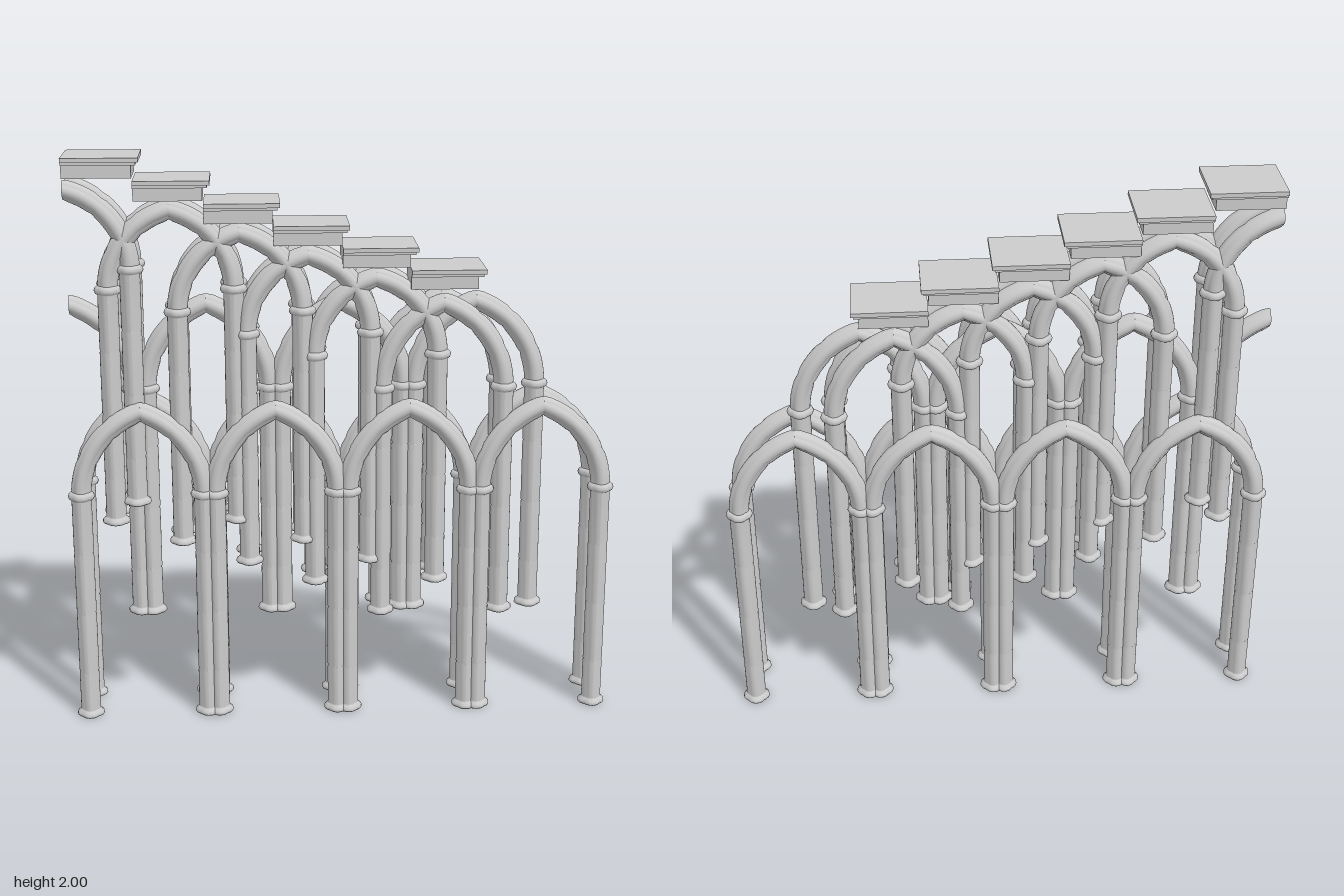
import * as THREE from 'three';
import { ParametricGeometry } from 'three/addons/geometries/ParametricGeometry.js';

const R0 = 0.035;      // shaft and rib radius
const SPAN = 0.2125;   // half the span of an arch
const SHAFT = 0.83;    // column height up to the springing
const BAY = 0.2325;    // half the spacing of the lower arcades

// four-lobed cross-section
const lobe = (a) => 0.86 + 0.14 * Math.abs(Math.cos(2 * a));

// half of a pointed arch, from the right springing (y = 0) to the apex (x = 0)
function halfArch(rise) {
  const R = (rise * rise + SPAN * SPAN) / (2 * SPAN);
  return new ParametricGeometry((u, v, p) => {
    const a = v * Math.PI * 2;
    const seam = u * 3 - Math.round(u * 3);
    const r = R0 * lobe(a) * (1 - 0.1 * Math.exp(-seam * seam * 250));
    const rho = R + r * Math.cos(a);
    const t = u * Math.acos((R - SPAN) / rho);
    p.set(SPAN - R + rho * Math.cos(t), rho * Math.sin(t), r * Math.sin(a));
  }, 18, 24);
}

// column with base, jointed shaft and collar
function columnGeometry() {
  const pts = [[0, 0], [0.045, 0], [0.048, 0.004], [0.047, 0.014], [0.037, 0.022], [R0, 0.026]];
  for (const y of [0.17, 0.395, 0.62]) {
    pts.push([R0, y - 0.005], [R0 * 0.92, y], [R0, y + 0.005]);
  }
  pts.push([R0, 0.815], [0.043, 0.82], [0.047, 0.83], [0.043, 0.84], [R0, 0.846], [0, 0.846]);
  const geo = new THREE.LatheGeometry(pts.map(([x, y]) => new THREE.Vector2(x, y)), 24);
  const pos = geo.attributes.position;
  for (let i = 0; i < pos.count; i++) {
    const x = pos.getX(i), z = pos.getZ(i), k = lobe(Math.atan2(z, x));
    pos.setX(i, x * k);
    pos.setZ(i, z * k);
  }
  geo.computeVertexNormals();
  return geo;
}

export function createModel() {
  const model = new THREE.Group();
  const mat = new THREE.MeshStandardMaterial({ color: 0xcccccc, side: THREE.DoubleSide });
  const column = columnGeometry();
  const tallArch = halfArch(0.3), lowArch = halfArch(0.27);

  function add(parent, geo, name, x, y, z, turn = 0) {
    const m = new THREE.Mesh(geo, mat);
    m.name = name;
    m.position.set(x, y, z);
    m.rotation.y = turn;
    parent.add(m);
  }

  // an arch on its columns; a cut bay keeps only its right half
  function bay(name, x, base, z, arch, cut = false) {
    const g = new THREE.Group();
    g.name = name;
    g.position.set(x, base, z);
    for (const side of cut ? [1] : [1, -1]) {
      add(g, column, 'column', side * SPAN, 0, 0);
      add(g, arch, 'archRib', 0, SHAFT, 0, side > 0 ? 0 : Math.PI);
    }
    model.add(g);
  }

  // lower arcades, front and back
  for (const z of [0.086, -0.086]) {
    for (let i = 0; i < 4; i++) bay('lowerBay', (2 * i - 3) * BAY, 0, z, tallArch);
  }

  // middle arcade, shifted by half a bay
  for (let i = 0; i < 4; i++) bay('middleBay', (i - 2) * 2 * BAY, 0.36, 0, tallArch, i === 0);

  // stepped upper arches in pairs
  for (const z of [0.055, -0.055]) {
    bay('upperBay', -4 * BAY, 0.79, z, lowArch, true);
    for (let i = 0; i < 4; i++) {
      bay('upperBay', (i - 2.5) * BAY, 0.72 - i * 0.079, z, lowArch);
    }
    bay('upperBay', 1.5 * BAY, 0.363, z, tallArch);
  }

  // stair of blocks with overhanging caps: bottom, height, overhang
  const layers = [
    ['stepBlock', -0.07, 0.045, 0],
    ['stepMoulding', -0.025, 0.01, 0.016],
    ['stepCap', -0.015, 0.015, 0.025],
  ];
  for (let i = 0; i < 6; i++) {
    const step = new THREE.Group();
    step.name = 'step';
    step.position.set((i - 4) * BAY, 2 - i * 0.077, 0);
    for (const [name, y, h, over] of layers) {
      const w = 0.23 + over;
      add(step, new THREE.BoxGeometry(w, h, 0.172 + 2 * over), name, w / 2, y + h / 2, 0);
    }
    model.add(step);
  }
  return model;
}
